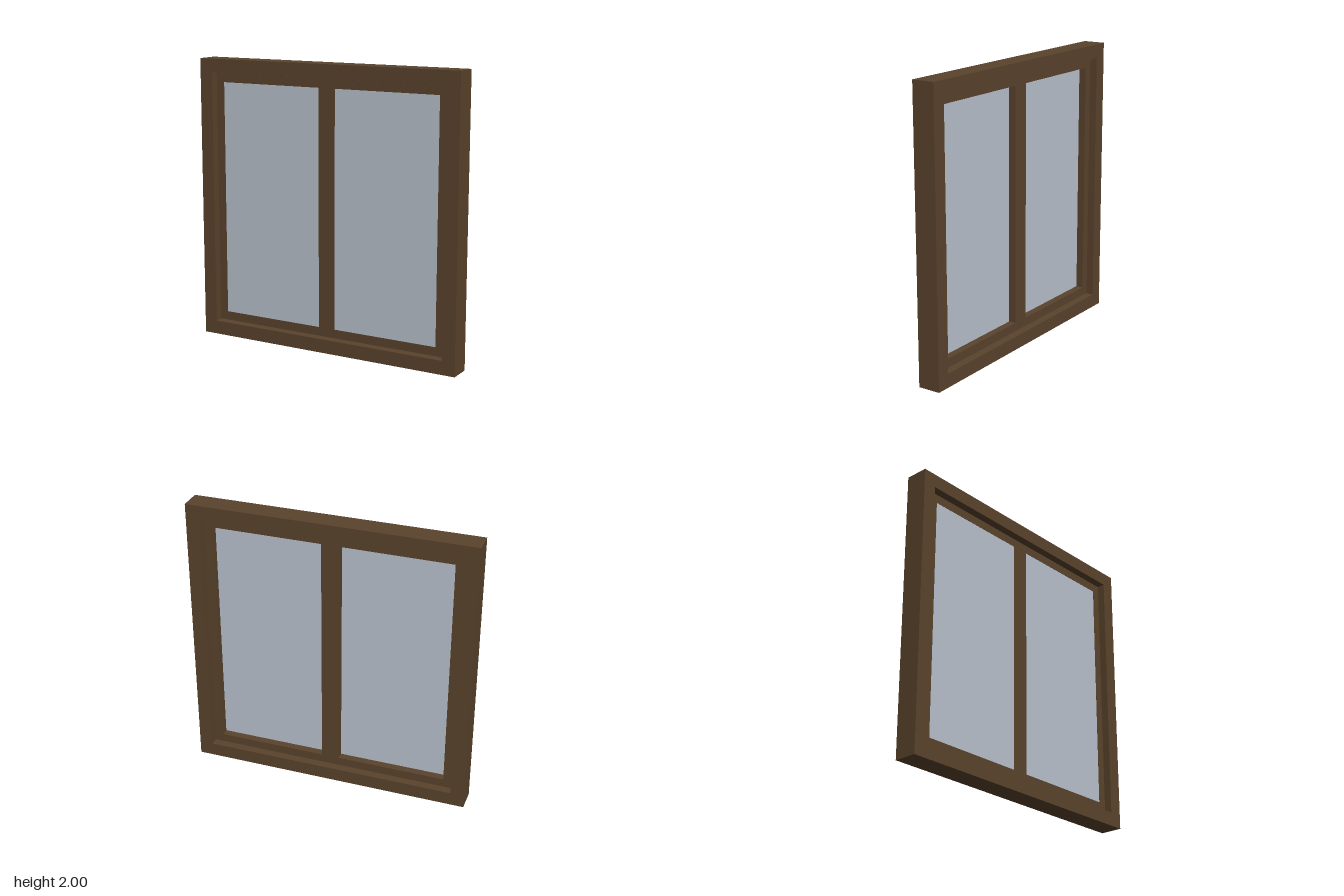
import * as THREE from 'three';

// Rectangle from min corner to max corner, drawn into a Shape or Path
function rect(path, x0, y0, x1, y1) {
  path.moveTo(x0, y0);
  path.lineTo(x1, y0);
  path.lineTo(x1, y1);
  path.lineTo(x0, y1);
  path.closePath();
  return path;
}

// Flat slab with rectangular holes, centred on z = 0
function slab(outer, holes, depth, material, name) {
  const shape = rect(new THREE.Shape(), ...outer);
  for (const h of holes) shape.holes.push(rect(new THREE.Path(), ...h));
  const geometry = new THREE.ExtrudeGeometry(shape, { depth, bevelEnabled: false });
  geometry.translate(0, 0, -depth / 2);
  const mesh = new THREE.Mesh(geometry, material);
  mesh.name = name;
  return mesh;
}

export function createModel() {
  const wood = new THREE.MeshStandardMaterial({ color: 0x5a432c });
  wood.name = 'dark brown wood';
  const glass = new THREE.MeshStandardMaterial({ color: 0xbac2cd });
  glass.name = 'pale grey glass';

  const group = new THREE.Group();
  group.name = 'window';

  // Outer frame
  group.add(slab([-1, 0, 1, 2], [[-0.903, 0.097, 0.903, 1.903]], 0.16, wood, 'outerFrame'));

  // Recessed sash with a central mullion, a hairline gap inside the frame
  const panes = [[-0.835, 0.165, -0.063, 1.835], [0.063, 0.165, 0.835, 1.835]];
  group.add(slab([-0.897, 0.103, 0.897, 1.897], panes, 0.06, wood, 'sash'));

  // Glass panes, nearly flush with the front of the sash
  panes.forEach(([x0, y0, x1, y1], i) => {
    const pane = new THREE.Mesh(new THREE.BoxGeometry(x1 - x0, y1 - y0, 0.006), glass);
    pane.position.set((x0 + x1) / 2, (y0 + y1) / 2, 0.026);
    pane.name = i ? 'leftPane' : 'rightPane';
    group.add(pane);
  });

  return group;
}
